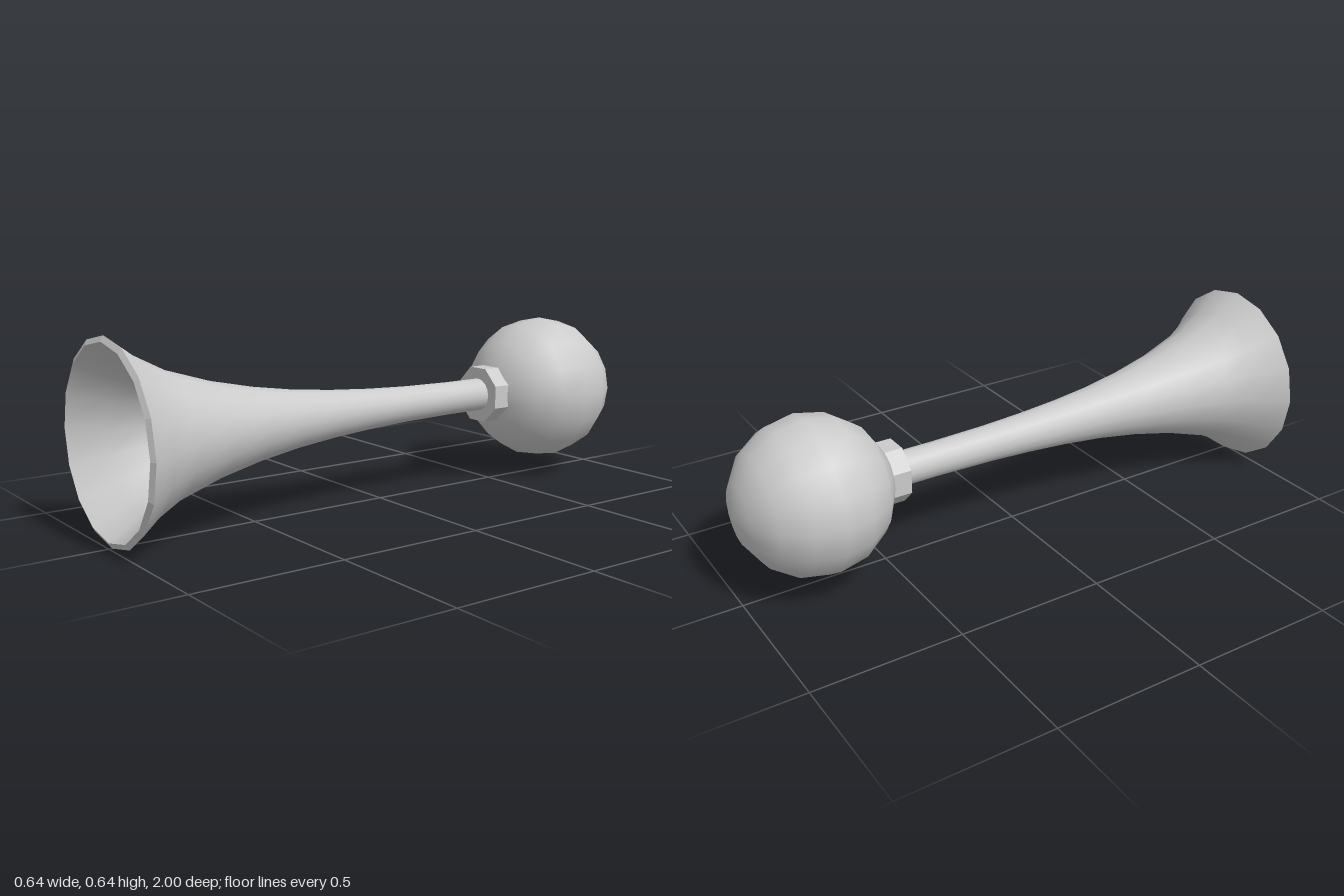
import * as THREE from 'three';

const AXIS_Y = 0.32; // height of the horn's centre line
const SIDES = 16;

export function createModel() {
  const horn = new THREE.Group();
  horn.name = 'bulbHorn';

  const smooth = new THREE.MeshStandardMaterial({ color: 0xcccccc });
  const faceted = new THREE.MeshStandardMaterial({ color: 0xcccccc, flatShading: true });

  // Turn a geometry built along y so that it runs along z
  function add(name, geometry, material, z = 0) {
    geometry.rotateX(Math.PI / 2);
    const mesh = new THREE.Mesh(geometry, material);
    mesh.name = name;
    mesh.position.set(0, AXIS_Y, z);
    horn.add(mesh);
  }

  // Spin a profile of [radius, z] pairs around the centre line
  const spin = (profile) =>
    new THREE.LatheGeometry(profile.map(([r, z]) => new THREE.Vector2(r, z)), SIDES);

  // Flared tube, from the bulb to the mouth
  const flare = [
    [0.058, -0.52], [0.058, -0.3], [0.062, -0.1], [0.069, 0.05], [0.08, 0.2],
    [0.096, 0.35], [0.12, 0.5], [0.153, 0.65], [0.2, 0.8], [0.252, 0.9], [0.318, 0.99],
  ];
  add('hornBell', spin(flare), smooth);

  // Bevelled lip around the mouth
  add('bellRim', spin([[0.318, 0.99], [0.3, 1.0]]), faceted);

  // Inside of the bell, closing to a point deep in the tube
  const inside = flare.slice(1, -1).map(([r, z]) => [r - 0.018, z]);
  add('bellInterior', spin([[0.3, 1.0], ...inside.reverse(), [0, -0.4]]), smooth);

  // Eight-sided collar joining tube and bulb
  const collar = new THREE.CylinderGeometry(0.104, 0.104, 0.08, 8);
  collar.rotateY(Math.PI / 8);
  add('collar', collar, faceted, -0.48);

  // Squeeze bulb
  add('bulb', new THREE.SphereGeometry(0.26, SIDES, 8), smooth, -0.74);

  return horn;
}
